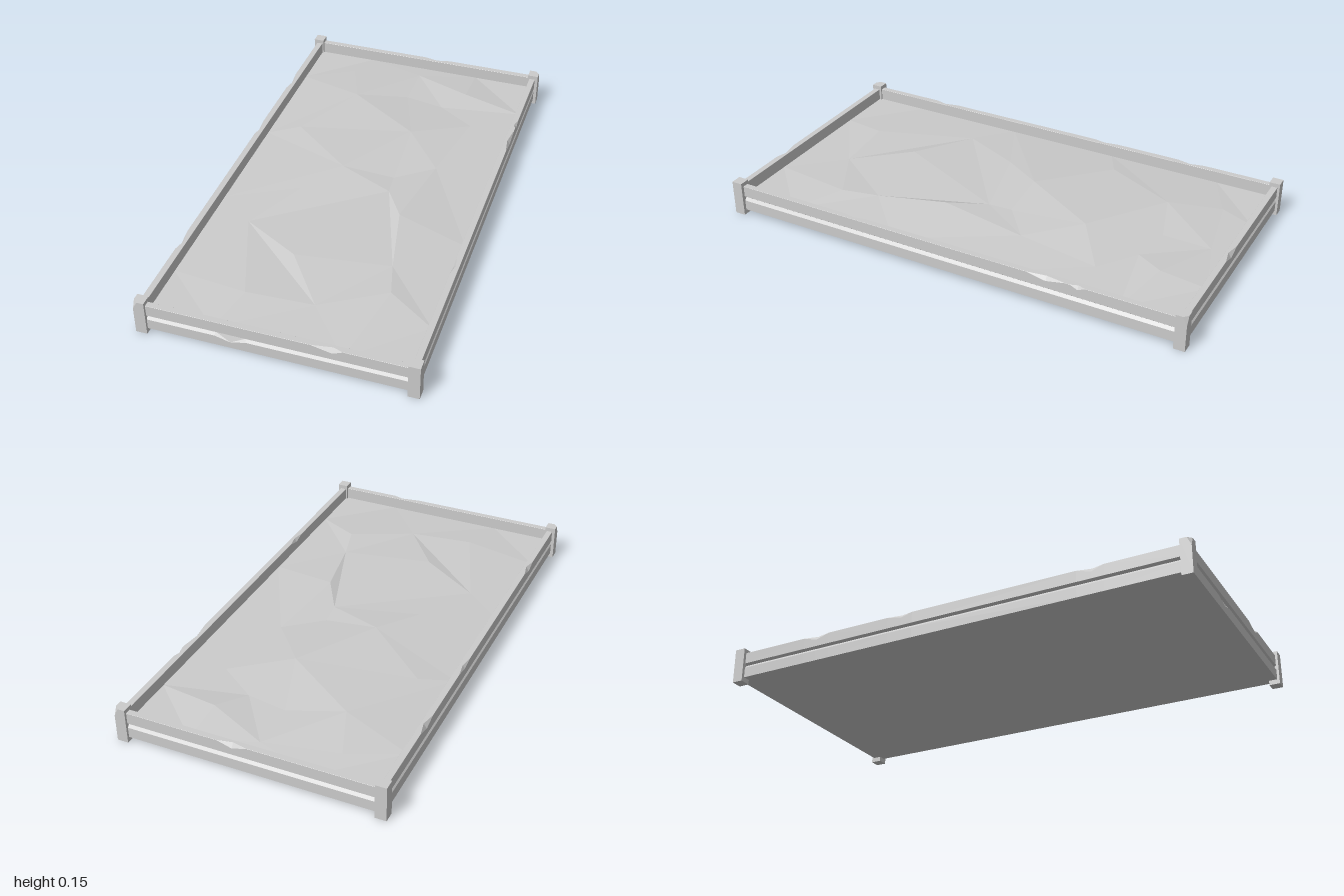
import * as THREE from 'three';
import { ConvexGeometry } from 'three/addons/geometries/ConvexGeometry.js';

const HX = 0.532, HZ = 0.99;      // outer faces of the rails
const THICK = 0.025, BASE = 0.02, RIM = 0.13;

const material = new THREE.MeshStandardMaterial({ color: 0xcccccc, flatShading: true });

function makeMesh(name, geometry) {
  const mesh = new THREE.Mesh(geometry, material);
  mesh.name = name;
  return mesh;
}

// Joins rows of points into a faceted surface; each row has the same number of points.
function skin(rows) {
  const positions = [];
  for (let i = 0; i < rows.length - 1; i++) {
    for (let j = 0; j < rows[i].length - 1; j++) {
      const a = rows[i][j], b = rows[i + 1][j], c = rows[i + 1][j + 1], d = rows[i][j + 1];
      if ((i + j) % 2) positions.push(...a, ...b, ...c, ...a, ...c, ...d);
      else positions.push(...a, ...b, ...d, ...b, ...c, ...d);
    }
  }
  const geometry = new THREE.BufferGeometry();
  geometry.setAttribute('position', new THREE.Float32BufferAttribute(positions, 3));
  geometry.computeVertexNormals();
  return geometry;
}

// Rail section: outer face with a V groove, then the rim and the inner face.
function section(x, { outer = 0, inner = 0, groove = 0 } = {}) {
  const e = 0.0006;
  const points = [
    [0, BASE],
    [0, 0.063 - groove],
    [-0.01, 0.075],
    [0, 0.083],
    [0, RIM - e - outer],
    [-e - outer * 0.7, RIM],
    [-THICK + e + inner * 0.7, RIM],
    [-THICK, RIM - e - inner],
    [-THICK, BASE],
  ];
  return points.map(([z, y]) => [x, y, z]);
}

// A rail along x, facing +z, with chips given as [start, deepest, end, cut].
function railGeometry(length, chips) {
  const rows = [section(-length / 2), section(length / 2)];
  for (const [start, middle, end, cut] of chips) {
    rows.push(section(start), section(middle, cut), section(end));
  }
  rows.sort((p, q) => p[0][0] - q[0][0]);
  return skin(rows);
}

// A corner post; a chipped one loses its outer top corner.
function postGeometry(sx, sz, chipped) {
  const x0 = 0.5 * sx, x1 = 0.545 * sx, z0 = 0.955 * sz, z1 = sz, top = 0.147;
  const points = [];
  for (const x of [x0, x1]) for (const z of [z0, z1]) for (const y of [0, top]) {
    if (chipped && x === x1 && z === z1 && y === top) {
      points.push([x, top - 0.035, z], [x - 0.017 * sx, top, z], [x, top, z - 0.017 * sz]);
    } else points.push([x, y, z]);
  }
  return new ConvexGeometry(points.map((p) => new THREE.Vector3(...p)));
}

// Uneven earth filling the bed: inner points as [x, z, height].
function soilGeometry() {
  const ex = HX - THICK + 0.003, ez = HZ - THICK + 0.003, edge = 0.08;
  const inner = [
    [[-0.3, -0.83, 0.088], [0, -0.89, 0.087], [0.25, -0.78, 0.1]],
    [[-0.22, -0.62, 0.105], [0, -0.69, 0.09], [0.17, -0.66, 0.088]],
    [[-0.38, -0.31, 0.095], [0.1, -0.4, 0.112], [0.33, -0.55, 0.092]],
    [[-0.1, -0.07, 0.112], [0.12, -0.08, 0.094], [0.27, -0.2, 0.092]],
    [[-0.22, 0.11, 0.1], [0.13, 0.02, 0.098], [0.22, 0.17, 0.112]],
    [[-0.35, 0.37, 0.088], [-0.1, 0.52, 0.102], [0.28, 0.46, 0.094]],
    [[-0.2, 0.77, 0.095], [0.07, 0.75, 0.088], [0.32, 0.61, 0.1]],
  ];
  const border = (z) => [-ex, -0.25, 0, 0.25, ex].map((x) => [x, edge, z]);
  const rows = inner.map((row, i) => {
    const z = -ez + (2 * ez * (i + 1)) / 8;
    return [[-ex, edge, z], ...row.map(([x, pz, y]) => [x, y, pz]), [ex, edge, z]];
  });
  // Each row runs along +x and rows advance along +z, so faces point up.
  return skin([border(-ez), ...rows, border(ez)]);
}

export function createModel() {
  const group = new THREE.Group();
  group.name = 'raisedBed';

  // Rails between the posts
  const outer = (depth) => ({ outer: depth });
  const rails = [
    ['frontRail', 1.03, 0, [0, HZ], [
      [0.14, 0.22, 0.26, outer(0.018)],
      [-0.23, -0.17, -0.11, { groove: 0.016 }],
    ]],
    ['backRail', 1.03, Math.PI, [0, -HZ], [[-0.12, -0.06, 0, outer(0.018)]]],
    ['leftRail', 1.94, Math.PI / 2, [HX, 0], [
      [-0.47, -0.42, -0.37, { inner: 0.014 }],
      [0.36, 0.44, 0.52, outer(0.016)],
      [0.54, 0.57, 0.6, outer(0.014)],
    ]],
    ['rightRail', 1.94, -Math.PI / 2, [-HX, 0], [
      [-0.66, -0.6, -0.54, outer(0.018)],
      [-0.26, -0.2, -0.15, outer(0.013)],
      [0.55, 0.61, 0.66, outer(0.018)],
    ]],
  ];
  for (const [name, length, turn, [x, z], chips] of rails) {
    const rail = makeMesh(name, railGeometry(length, chips));
    rail.rotation.y = turn;
    rail.position.set(x, 0, z);
    group.add(rail);
  }

  // Corner posts, two of them chipped
  for (const sx of [-1, 1]) for (const sz of [-1, 1]) {
    const name = (sz > 0 ? 'front' : 'back') + (sx > 0 ? 'Left' : 'Right') + 'Post';
    group.add(makeMesh(name, postGeometry(sx, sz, sx !== sz)));
  }

  // Flat floor panel and the earth above it
  const floor = makeMesh('floor', new THREE.BoxGeometry(2 * HX - 0.002, 0.01, 2 * HZ - 0.002));
  floor.position.y = BASE + 0.005;
  group.add(floor, makeMesh('soil', soilGeometry()));

  return group;
}
